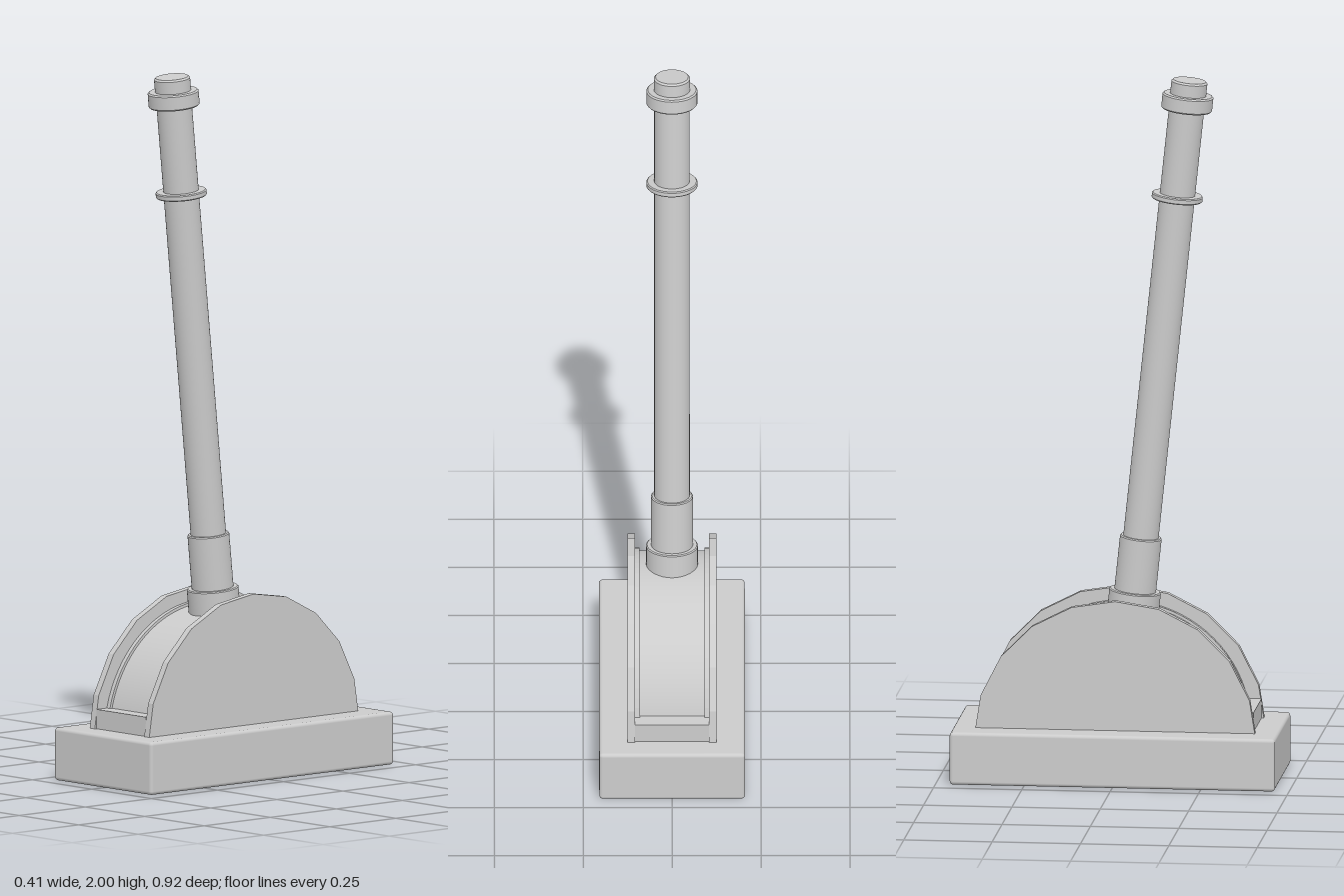
import * as THREE from 'three';
import { RoundedBoxGeometry } from 'three/addons/geometries/RoundedBoxGeometry.js';

const PIVOT_Y = 0.12;
const material = new THREE.MeshStandardMaterial({ color: 0xcccccc });

function addPart(parent, name, geometry, x = 0, y = 0, z = 0) {
  const mesh = new THREE.Mesh(geometry, material);
  mesh.name = name;
  mesh.position.set(x, y, z);
  parent.add(mesh);
  return mesh;
}

// Half disc standing in the z-y plane, centred on x, with its flat side at the pivot
function halfDisc(radius, width, segments) {
  const shape = new THREE.Shape();
  for (let i = 0; i <= segments; i++) {
    const a = (i / segments) * Math.PI;
    const px = radius * Math.cos(a), py = radius * Math.sin(a);
    if (i === 0) shape.moveTo(px, py);
    else shape.lineTo(px, py);
  }
  shape.closePath();
  const geometry = new THREE.ExtrudeGeometry(shape, { depth: width, bevelEnabled: false });
  return geometry.translate(0, 0, -width / 2).rotateY(Math.PI / 2);
}

// Turned part with crisp, slightly bevelled edges, from height a to b on the lever axis
function turned(radius, a, b, bevel) {
  const rings = [
    [0, a], [radius - bevel, a], [radius, a + bevel],
    [radius, b - bevel], [radius - bevel, b], [0, b],
  ];
  const points = [];
  rings.forEach(([r, y], i) => {
    points.push(new THREE.Vector2(r, y));
    // doubled rings keep the shading creased
    if (i > 0 && i < rings.length - 1) points.push(new THREE.Vector2(r, y));
  });
  const positions = [];
  const normals = [];
  const index = [];
  const sides = 32;
  for (let k = 0; k < points.length; k += 2) {
    const p = points[k], q = points[k + 1];
    const n = new THREE.Vector2(q.y - p.y, p.x - q.x).normalize();
    const start = positions.length / 3;
    for (let s = 0; s <= sides; s++) {
      const t = (s / sides) * Math.PI * 2, c = Math.cos(t), w = Math.sin(t);
      positions.push(p.x * c, p.y, p.x * w, q.x * c, q.y, q.x * w);
      for (let j = 0; j < 2; j++) normals.push(n.x * c, n.y, n.x * w);
      if (s < sides) {
        const o = start + s * 2;
        index.push(o, o + 1, o + 2, o + 1, o + 3, o + 2);
      }
    }
  }
  const geometry = new THREE.BufferGeometry();
  geometry.setAttribute('position', new THREE.Float32BufferAttribute(positions, 3));
  geometry.setAttribute('normal', new THREE.Float32BufferAttribute(normals, 3));
  geometry.setIndex(index);
  return geometry;
}

export function createModel() {
  const model = new THREE.Group();
  model.name = 'floorLever';

  // Base block
  addPart(model, 'base', new RoundedBoxGeometry(0.41, 0.15, 0.92, 3, 0.01), 0, 0.075, 0);

  // Housing: two faceted side plates with a curved slot cover between them
  const housing = new THREE.Group();
  housing.name = 'housing';
  model.add(housing);
  for (const side of [-1, 1]) {
    const label = side > 0 ? 'left' : 'right';
    addPart(housing, label + 'SidePlate', halfDisc(0.4, 0.021, 10), side * 0.1145, PIVOT_Y, 0);
    addPart(housing, label + 'SlotRim', halfDisc(0.36, 0.014, 40), side * 0.098, PIVOT_Y, 0);
  }
  const drum = new THREE.CylinderGeometry(0.352, 0.352, 0.184, 80, 1, false, 0, Math.PI);
  drum.rotateZ(Math.PI / 2);
  addPart(housing, 'curvedCover', drum, 0, PIVOT_Y, 0);
  for (const end of [-1, 1]) {
    addPart(housing, end > 0 ? 'frontSill' : 'backSill',
      new THREE.BoxGeometry(0.208, 0.085, 0.065), 0, 0.1625, end * 0.3565);
  }

  // Lever, leaning forward about the housing's centre
  const lever = new THREE.Group();
  lever.name = 'lever';
  lever.position.y = PIVOT_Y;
  lever.rotation.x = THREE.MathUtils.degToRad(6);
  model.add(lever);
  const parts = [
    ['collar', 0.073, 0.33, 0.413, 0.003],
    ['sleeve', 0.059, 0.40, 0.568, 0.003],
    ['shaft', 0.05, 0.55, 1.82, 0.001],
    ['gripRing', 0.072, 1.54, 1.557, 0.003],
    ['topRing', 0.072, 1.80, 1.845, 0.004],
    ['button', 0.051, 1.83, 1.885, 0.005],
  ];
  for (const [name, radius, a, b, bevel] of parts) addPart(lever, name, turned(radius, a, b, bevel));

  return model;
}
